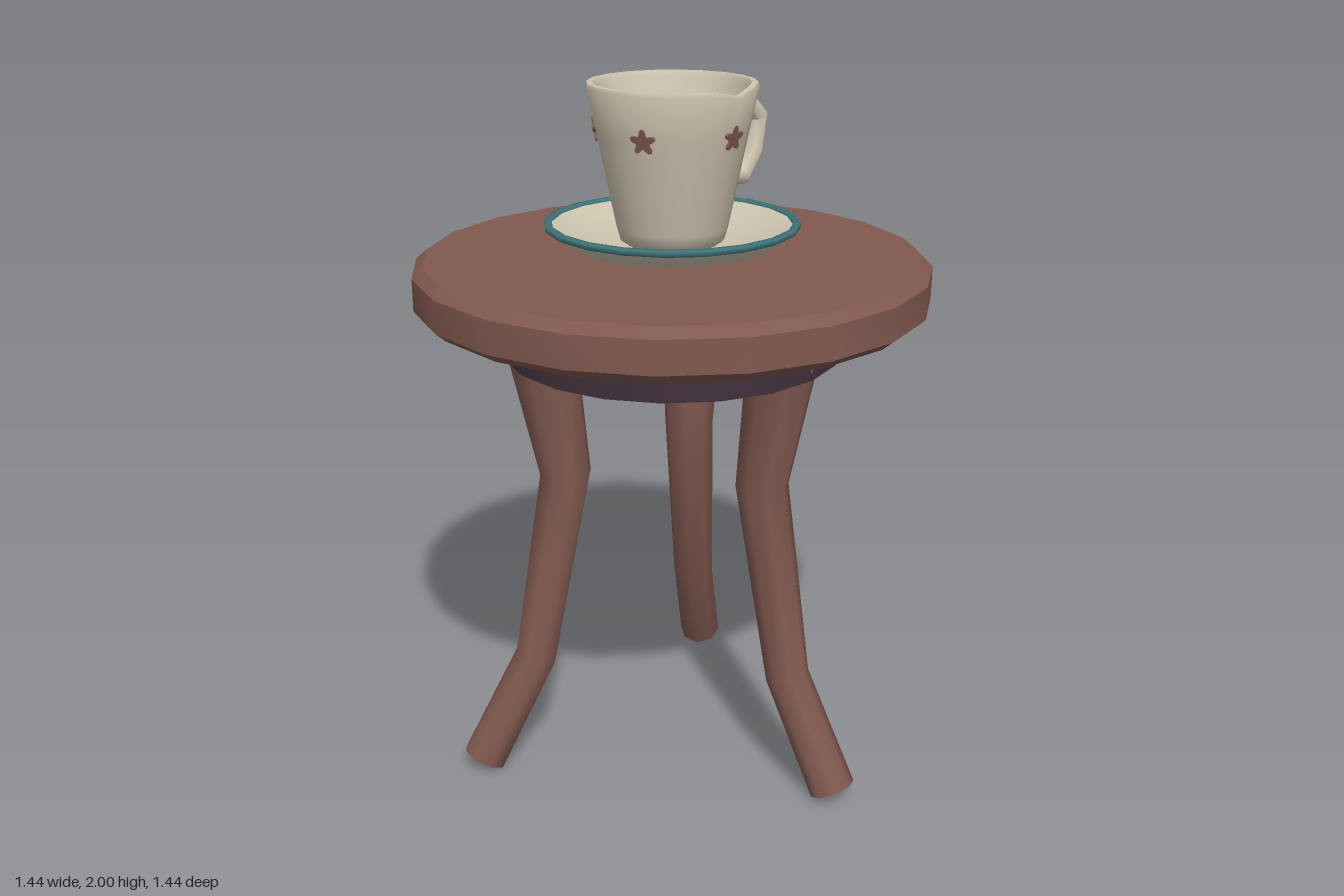
import * as THREE from 'three';
import { toCreasedNormals } from 'three/addons/utils/BufferGeometryUtils.js';

const material = (name, color) => {
  const m = new THREE.MeshStandardMaterial({ color });
  m.name = name;
  return m;
};

function addMesh(parent, name, geometry, mat) {
  const mesh = new THREE.Mesh(geometry, mat);
  mesh.name = name;
  parent.add(mesh);
  return mesh;
}

// Turned part from [radius, height] pairs
const lathe = (profile, sides = 20) =>
  new THREE.LatheGeometry(profile.map(([r, y]) => new THREE.Vector2(r, y)), sides);
const crease = (geometry, angle = 0.6) => toCreasedNormals(geometry, angle);

// Capped bent rod: [x, y, radius] stations in the xy plane
function bentRod(stations, sides) {
  const pos = [], index = [];
  const dir = (a, b) => new THREE.Vector2(b[0] - a[0], b[1] - a[1]).normalize();
  const last = stations.length - 1;
  stations.forEach(([x, y, r], i) => {
    const t = new THREE.Vector2();
    if (i > 0) t.add(dir(stations[i - 1], stations[i]));
    if (i < last) t.add(dir(stations[i], stations[i + 1]));
    t.normalize();
    for (let j = 0; j < sides; j++) {
      const a = (j / sides) * Math.PI * 2;
      pos.push(x - t.y * r * Math.cos(a), y + t.x * r * Math.cos(a), r * Math.sin(a));
    }
  });
  const c0 = pos.length / 3, c1 = c0 + 1;
  pos.push(stations[0][0], stations[0][1], 0, stations[last][0], stations[last][1], 0);
  for (let j = 0; j < sides; j++) {
    const k = (j + 1) % sides;
    for (let i = 0; i < last; i++) {
      const a = i * sides + j, b = i * sides + k;
      index.push(a, b, b + sides, a, b + sides, a + sides);
    }
    index.push(c0, k, j, c1, last * sides + j, last * sides + k);
  }
  const g = new THREE.BufferGeometry();
  g.setAttribute('position', new THREE.Float32BufferAttribute(pos, 3));
  g.setIndex(index);
  g.computeVertexNormals();
  return crease(g, 0.95);
}

// Five-petalled blossom plate
function flowerGeometry() {
  const points = [];
  for (let i = 0; i < 40; i++) {
    const a = (i / 40) * Math.PI * 2;
    const r = 0.027 + 0.009 * Math.cos(5 * a);
    points.push(new THREE.Vector2(r * Math.sin(a), r * Math.cos(a)));
  }
  return new THREE.ExtrudeGeometry(new THREE.Shape(points), { depth: 0.008, bevelEnabled: false });
}

export function createModel() {
  const wood = material('brown wood', 0x80594f);
  const dark = material('dark plum', 0x41303a);
  const cream = material('cream china', 0xcec4af);
  const teal = material('teal glaze', 0x3f7478);

  const model = new THREE.Group();
  model.name = 'tableWithCup';

  // Table
  const table = new THREE.Group();
  table.name = 'table';
  model.add(table);
  addMesh(table, 'tableTop', crease(lathe([
    [0, 1.39], [0.69, 1.39], [0.72, 1.415], [0.72, 1.505], [0.69, 1.53], [0, 1.53],
  ])), wood);
  addMesh(table, 'apron', crease(lathe([
    [0, 1.232], [0.3, 1.236], [0.48, 1.26], [0.48, 1.365], [0.55, 1.392],
  ])), dark);

  // Three bent legs, one at the front
  const legGeometry = bentRod([
    [0.395, 1.375, 0.104], [0.325, 0.92, 0.075], [0.43, 0.35, 0.063], [0.6, 0.036, 0.066],
  ], 8);
  for (let i = 0; i < 3; i++) {
    const leg = addMesh(table, 'leg', legGeometry, wood);
    leg.rotation.y = -Math.PI / 2 + (i * Math.PI * 2) / 3;
  }

  // Saucer with glazed rim
  const saucer = new THREE.Group();
  saucer.name = 'saucer';
  model.add(saucer);
  addMesh(saucer, 'saucerDish', lathe([
    [0, 1.534], [0.15, 1.534], [0.29, 1.565], [0.346, 1.607],
    [0.337, 1.617], [0.27, 1.586], [0.15, 1.56], [0, 1.558],
  ]), cream);
  addMesh(saucer, 'saucerRim', lathe([
    [0.344, 1.605], [0.354, 1.61], [0.354, 1.623], [0.336, 1.625], [0.333, 1.614],
  ]), teal);

  // Cup, its lip dipping at the front
  const cup = new THREE.Group();
  cup.name = 'cup';
  model.add(cup);
  const body = lathe([
    [0, 1.558], [0.12, 1.558], [0.145, 1.575], [0.155, 1.61], [0.208, 1.87], [0.234, 1.99],
    [0.23, 2], [0.214, 2], [0.205, 1.985], [0.155, 1.7], [0.14, 1.64], [0, 1.63],
  ]);
  const p = body.attributes.position;
  for (let i = 0; i < p.count; i++) {
    const angle = Math.abs(Math.atan2(p.getX(i), p.getZ(i)));
    if (p.getY(i) > 1.95) p.setY(i, p.getY(i) - 0.018 * Math.max(0, 1 - angle / 0.4));
  }
  body.computeVertexNormals();
  addMesh(cup, 'cupBody', crease(body, 0.9), cream);

  const drink = addMesh(cup, 'drink', new THREE.CircleGeometry(0.156, 20), dark);
  drink.rotation.x = -Math.PI / 2;
  drink.position.y = 1.702;

  addMesh(cup, 'handle', bentRod([
    [0.2, 1.93, 0.028], [0.305, 1.932, 0.028], [0.388, 1.862, 0.031],
    [0.37, 1.765, 0.031], [0.315, 1.7, 0.03], [0.165, 1.715, 0.027],
  ], 8), cream);

  // Blossoms spaced round the cup
  const blossom = flowerGeometry();
  for (let i = 0; i < 5; i++) {
    const turn = new THREE.Group();
    turn.name = 'flowerMount';
    turn.rotation.y = (i * Math.PI * 2) / 5;
    cup.add(turn);
    const flower = addMesh(turn, 'flower', blossom, wood);
    flower.position.set(0, 1.872, 0.204);
    flower.rotation.x = 0.2;
  }
  return model;
}
